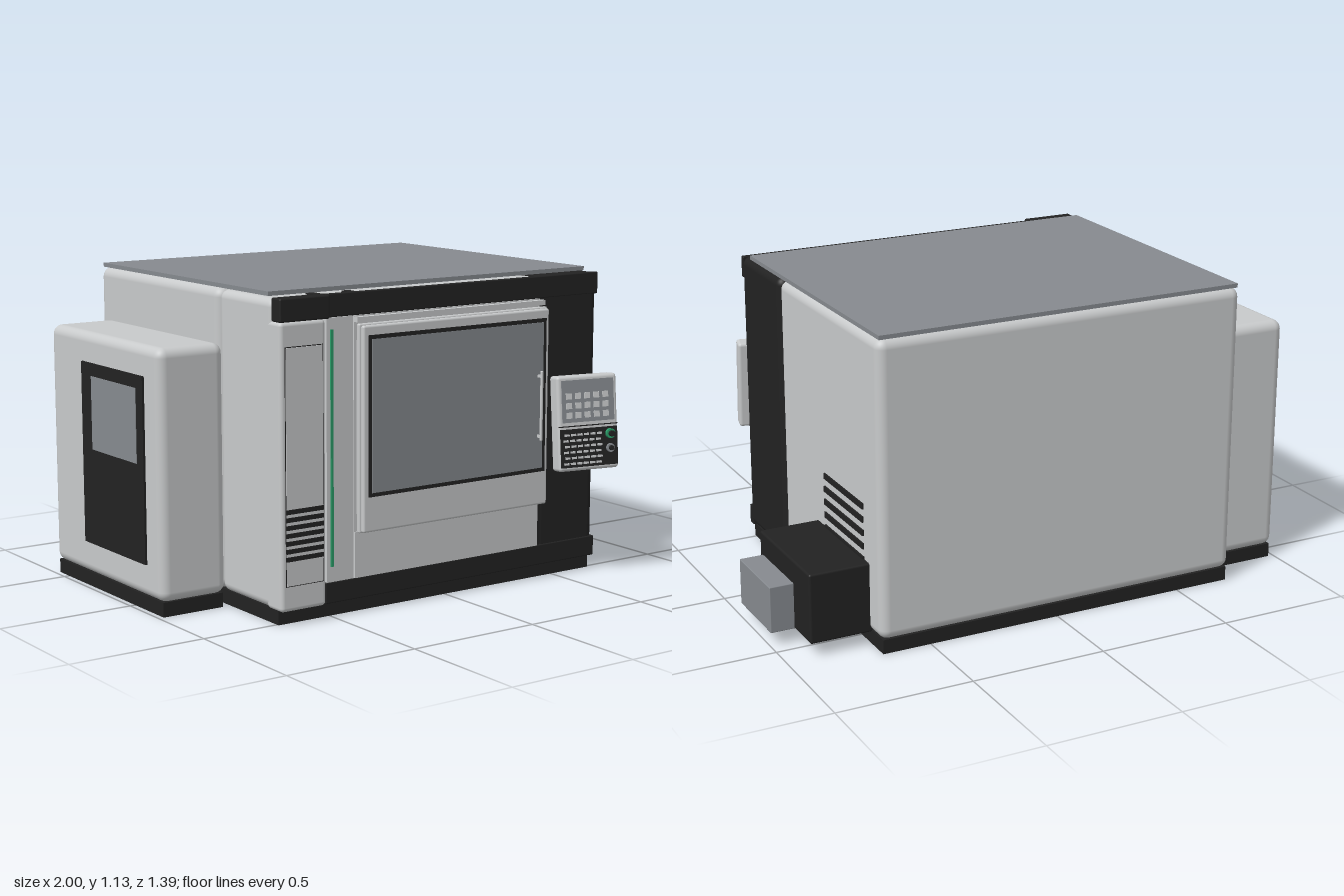
import * as THREE from 'three';
import { RoundedBoxGeometry } from 'three/addons/geometries/RoundedBoxGeometry.js';

const material = (name, color) => {
  const m = new THREE.MeshStandardMaterial({ color });
  m.name = name;
  return m;
};

export function createModel() {
  const light = material('light grey paint', 0xc8cacb);
  const dark = material('charcoal paint', 0x222222);
  const glass = material('grey glass', 0x868a8f);
  const green = material('green accent', 0x2a9d68);

  const model = new THREE.Group();
  model.name = 'machineTool';

  // Box given by its limits, with an optional edge radius
  const box = (name, mat, [x0, x1], [y0, y1], [z0, z1], r = 0, parent = model) => {
    const s = [x1 - x0, y1 - y0, z1 - z0];
    const geo = r ? new RoundedBoxGeometry(...s, 4, r) : new THREE.BoxGeometry(...s);
    const mesh = new THREE.Mesh(geo, mat);
    mesh.name = name;
    mesh.position.set((x0 + x1) / 2, (y0 + y1) / 2, (z0 + z1) / 2);
    parent.add(mesh);
    return mesh;
  };

  // Main housing
  box('plinth', dark, [-0.71, 0.68], [0, 0.052], [-0.68, 0.51]);
  box('rearHousing', light, [-0.72, 0.69], [0.05, 1.12], [-0.69, 0.16], 0.035);
  box('frontRightHousing', dark, [0.41, 0.69], [0.05, 1.12], [0.158, 0.527], 0.03);
  box('frontRightFill', dark, [0.41, 0.66], [0.052, 1.118], [0.3, 0.525]);
  box('frontLeftHousing', light, [-0.72, -0.4], [0.05, 1.115], [0.158, 0.5], 0.03);
  box('frontCentreWall', light, [-0.53, 0.42], [0.05, 1.115], [0.12, 0.505]);
  box('roofPanel', glass, [-0.71, 0.68], [1.12, 1.135], [-0.68, 0.46]);

  // Front frame
  box('topBar', dark, [-0.53, 0.69], [1.04, 1.12], [0.508, 0.528], 0.004);
  box('topBarStop', dark, [-0.42, -0.39], [1.04, 1.12], [0.47, 0.515]);
  box('topBarEnd', dark, [-0.56, -0.525], [1.04, 1.12], [0.46, 0.525]);
  box('bottomBar', dark, [-0.53, 0.69], [0.05, 0.125], [0.5, 0.532], 0.004);
  box('columnCap', dark, [-0.725, -0.525], [1.04, 1.12], [0.5, 0.555], 0.006);

  // Left column with its cover and louvers
  box('leftColumn', light, [-0.72, -0.535], [0.05, 1.04], [0.45, 0.545], 0.015);
  box('columnSeam', dark, [-0.702, -0.548], [0.138, 0.957], [0.53, 0.5455]);
  box('columnCover', light, [-0.699, -0.551], [0.141, 0.954], [0.53, 0.548]);
  for (let i = 0; i < 7; i++) {
    const y = 0.226 + i * 0.0272;
    box('columnLouver', dark, [-0.7, -0.55], [y, y + 0.016], [0.545, 0.55]);
  }

  // Fixed front panels
  box('sidePanel', light, [-0.525, -0.415], [0.125, 1.04], [0.5, 0.532]);
  box('statusLight', green, [-0.51, -0.5], [0.18, 1.0], [0.53, 0.537]);
  box('lowerPanel', light, [-0.41, 0.41], [0.125, 0.288], [0.5, 0.535]);
  box('doorBacking', light, [-0.41, 0.41], [0.288, 1.04], [0.5, 0.53]);
  box('doorTrack', light, [-0.41, 0.42], [1.018, 1.036], [0.52, 0.55]);

  // Sliding door with window and handle
  box('doorCarrier', light, [-0.4, 0.4], [0.35, 0.955], [0.52, 0.556]);
  box('doorBackPlate', light, [-0.415, 0.415], [0.29, 1.015], [0.55, 0.568], 0.006);
  box('doorFrontPlate', light, [-0.41, 0.41], [0.293, 1.01], [0.566, 0.586], 0.008);
  box('windowFrame', dark, [-0.39, 0.395], [0.417, 0.977], [0.58, 0.588]);
  box('windowGlass', glass, [-0.376, 0.381], [0.431, 0.963], [0.583, 0.59]);
  box('doorHandle', light, [0.354, 0.363], [0.535, 0.79], [0.604, 0.614], 0.003);
  for (const y of [0.55, 0.77]) {
    box('handlePost', light, [0.355, 0.362], [y - 0.005, y + 0.005], [0.586, 0.608]);
  }

  // Control panel on its arm
  box('controlArm', light, [0.543, 0.57], [0.6, 0.626], [0.52, 0.615], 0.008);
  const panel = new THREE.Group();
  panel.name = 'controlPanel';
  panel.position.set(0.558, 0.585, 0.618);
  panel.rotation.set(-0.1, -0.2, 0, 'YXZ');
  model.add(panel);
  const part = (name, mat, x, y, z, r) => box(name, mat, x, y, z, r, panel);
  part('panelCase', light, [-0.124, 0.124], [-0.174, 0.174], [-0.032, 0.028], 0.012);
  part('panelDivider', dark, [-0.122, 0.122], [-0.012, -0.008], [0.02, 0.0285]);
  part('screen', glass, [-0.108, 0.108], [0.004, 0.158], [0.024, 0.031]);
  part('keyboard', dark, [-0.118, 0.118], [-0.16, -0.02], [0.024, 0.032]);
  for (let row = 0; row < 3; row++) {
    for (let col = 0; col < 5; col++) {
      const x = -0.08 + col * 0.038, y = 0.03 + row * 0.035;
      part('screenButton', light, [x - 0.012, x + 0.012], [y - 0.011, y + 0.011], [0.029, 0.033]);
    }
  }
  for (let row = 0; row < 6; row++) {
    for (let col = 0; col < 6; col++) {
      const x = -0.098 + col * 0.027 + (row % 2) * 0.005, y = -0.146 + row * 0.021;
      part('key', light, [x - 0.01, x + 0.01], [y - 0.004, y + 0.004], [0.03, 0.035]);
    }
  }
  const dial = (name, mat, y, radius, depth) => {
    const mesh = new THREE.Mesh(new THREE.CylinderGeometry(radius, radius, depth, 24), mat);
    mesh.name = name;
    mesh.rotation.x = Math.PI / 2;
    mesh.position.set(0.085, y, 0.03 + depth / 2);
    panel.add(mesh);
  };
  dial('greenDialRing', green, -0.045, 0.018, 0.014);
  dial('greenDialKnob', dark, -0.045, 0.011, 0.026);
  dial('greyDialRing', glass, -0.098, 0.016, 0.01);
  dial('greyDialKnob', dark, -0.098, 0.009, 0.02);

  // Electrical cabinet on the side
  box('cabinetPlinth', dark, [-0.98, -0.74], [0, 0.052], [-0.57, 0.2]);
  box('cabinet', light, [-0.99, -0.728], [0.05, 0.935], [-0.58, 0.21], 0.035);
  box('cabinetPanel', dark, [-0.998, -0.985], [0.17, 0.83], [-0.33, 0.11]);
  box('cabinetWindow', glass, [-1.0, -0.994], [0.52, 0.785], [-0.255, 0.065]);

  // Chip conveyor and side louvers
  box('conveyorHousing', dark, [0.68, 0.912], [0.05, 0.306], [-0.597, -0.15], 0.008);
  box('conveyorOutlet', glass, [0.9, 1.0], [0.052, 0.222], [-0.455, -0.173], 0.003);
  for (let i = 0; i < 5; i++) {
    const y = 0.295 + i * 0.0487;
    box('sideLouver', dark, [0.688, 0.696], [y, y + 0.021], [-0.556, -0.227]);
  }

  return model;
}
